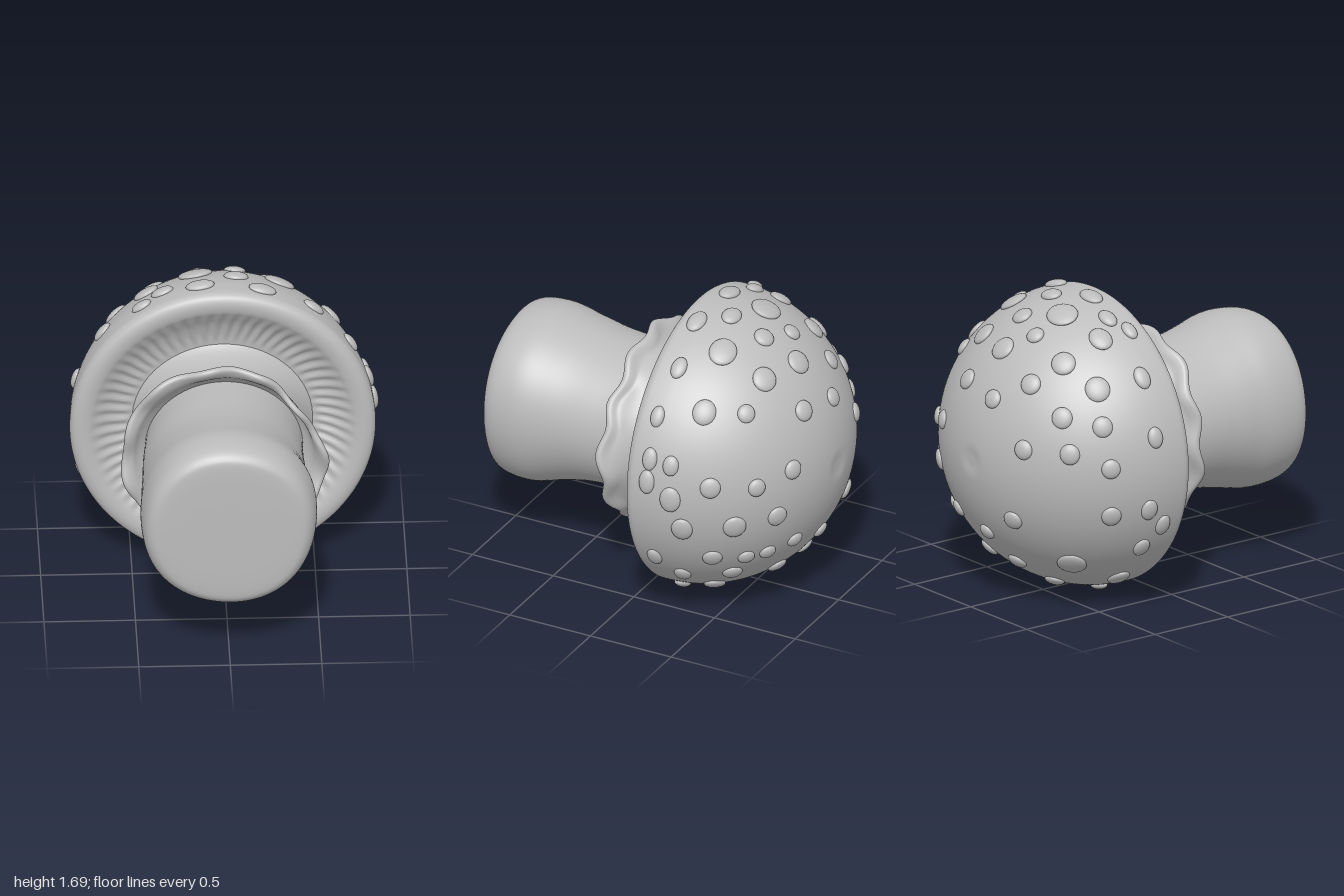
import * as THREE from 'three';
import { mergeVertices } from 'three/addons/utils/BufferGeometryUtils.js';

const AXIS_Y = 0.845;                       // height of the mushroom's lying axis
const CAP = { r: 0.836, d: 0.82, z: -0.18 }; // cap dome: radius, depth, centre

const smooth = (a, b, x) => THREE.MathUtils.smoothstep(x, a, b);

// Revolves a smooth [radius, z] profile about the z axis, then bends it by a rule.
function revolve(profile, steps, sides, rule) {
  const curve = new THREE.SplineCurve(profile.map(([r, z]) => new THREE.Vector2(r, z)));
  const pts = curve.getPoints(steps);
  pts.forEach(p => { p.x = Math.max(0, p.x); });
  let geo = new THREE.LatheGeometry(pts, sides);
  geo.rotateX(Math.PI / 2);
  geo.deleteAttribute('uv');
  geo.deleteAttribute('normal');
  const pos = geo.attributes.position;
  const v = new THREE.Vector3();
  for (let i = 0; i < pos.count; i++) {
    v.fromBufferAttribute(pos, i);
    rule(v, Math.hypot(v.x, v.y), Math.atan2(v.y, v.x));
    pos.setXYZ(i, v.x, v.y, v.z);
  }
  geo = mergeVertices(geo, 1e-5);
  geo.computeVertexNormals();
  return geo;
}

// Spots placed by [x, z, size] on the upper half
const UPPER = [
  [-0.09, -0.915, 0.055], [-0.28, -0.8, 0.06], [0.02, -0.76, 0.072], [0.28, -0.69, 0.072],
  [0.18, -0.88, 0.06], [0.47, -0.68, 0.052], [0.6, -0.49, 0.072],
  [-0.37, -0.645, 0.07], [-0.57, -0.565, 0.072], [-0.5, -0.755, 0.06], [-0.12, -0.645, 0.052],
  [0.08, -0.58, 0.06], [-0.14, -0.475, 0.095], [-0.41, -0.42, 0.075], [0.32, -0.455, 0.088],
  [0.08, -0.38, 0.068], [-0.65, -0.32, 0.065], [-0.325, -0.305, 0.065], [-0.44, -0.245, 0.06],
  [-0.12, -0.26, 0.08], [0.22, -0.24, 0.078], [0.5, -0.28, 0.065], [0.7, -0.255, 0.06],
  [-0.66, -0.6, 0.058],
];
// Spots placed by [y, z, size] on the left flank
const LEFT = [
  [1.06, -0.38, 0.058], [1.08, -0.26, 0.065], [0.95, -0.255, 0.07], [0.865, -0.39, 0.075],
  [0.945, -0.59, 0.06], [0.92, -0.79, 0.052], [0.97, -0.91, 0.055], [0.68, -0.445, 0.07],
  [0.69, -0.695, 0.068], [0.71, -0.86, 0.06], [0.435, -0.25, 0.065], [0.3, -0.36, 0.062],
  [0.465, -0.56, 0.058], [0.445, -0.7, 0.05], [0.45, -0.78, 0.05], [0.48, -0.87, 0.05],
  [0.31, -0.6, 0.058], [0.245, -0.72, 0.058], [0.16, -0.445, 0.07], [0.11, -0.245, 0.065],
  [0.06, -0.35, 0.058],
];
// Spots placed by [y, z, size] on the right flank
const RIGHT = [
  [1.05, -0.34, 0.06], [0.98, -0.91, 0.055], [0.98, -0.76, 0.058], [0.9, -0.59, 0.055],
  [0.55, -0.905, 0.058], [0.62, -0.57, 0.058], [0.64, -0.375, 0.062], [0.53, -0.27, 0.065],
  [0.395, -0.35, 0.062], [0.29, -0.63, 0.085], [0.24, -0.74, 0.058], [0.16, -0.33, 0.078],
  [0.415, -0.885, 0.05], [0.11, -0.54, 0.058], [0.035, -0.26, 0.06],
];

export function createModel() {
  const model = new THREE.Group();
  const grey = new THREE.MeshStandardMaterial({ color: 0xbcbcbc });
  grey.name = 'clay grey';

  const body = new THREE.Group();
  body.name = 'mushroom';
  body.position.y = AXIS_Y;
  model.add(body);
  const add = (name, geo, parent = body) => {
    const mesh = new THREE.Mesh(geo, grey);
    mesh.name = name;
    parent.add(mesh);
    return mesh;
  };

  // Cap: dome with a faint dimple, rounded rim, shallow hollow with swirled gills
  const capProfile = [];
  for (let i = 0; i <= 14; i++) {
    const a = (i / 14) * Math.PI / 2;
    capProfile.push([CAP.r * Math.sin(a), CAP.z - CAP.d * Math.cos(a)]);
  }
  capProfile.push([0.831, -0.148], [0.812, -0.124], [0.775, -0.113], [0.73, -0.12],
    [0.69, -0.143], [0.62, -0.185], [0.54, -0.213], [0.46, -0.225], [0.36, -0.225]);
  add('cap', revolve(capProfile, 100, 300, (v, r, a) => {
    if (v.z < -0.9) v.z += 0.008 * (1 - smooth(0.03, 0.09, r));
    if (v.z > -0.3) {
      const band = smooth(0.48, 0.56, r) * (1 - smooth(0.64, 0.74, r));
      v.z += band * 0.008 * Math.cos(60 * a + 14 * r + 0.8 * Math.sin(5 * a));
      v.z -= 0.008 * v.y;
    }
  }));

  // Stem: neck flaring into the cap, swollen foot, flat and slightly tilted end
  const stemProfile = [[0.5, -0.26], [0.45, -0.2], [0.418, -0.12], [0.407, -0.02], [0.407, 0.08],
    [0.412, 0.2], [0.42, 0.35], [0.436, 0.48], [0.467, 0.62], [0.497, 0.74], [0.502, 0.83],
    [0.488, 0.92], [0.453, 0.972], [0.39, 0.989], [0.2, 0.993], [0, 0.993]];
  add('stem', revolve(stemProfile, 70, 96, (v, r, a) => {
    const lump = 1 - 0.012 * Math.cos(4 * a + 0.6) * smooth(0.4, 0.8, v.z);
    v.x *= lump * (1.06 - 0.095 * smooth(0.3, 0.85, v.z));
    v.y *= lump;
    v.z -= 0.018 * v.x * smooth(0.7, 0.95, v.z);
    v.x -= 0.012 * smooth(0, 0.3, v.z) * (1 - smooth(0.5, 0.8, v.z));
  }));

  // Skirt: thin flared collar with a ruffled lip, drawn in on one side
  const skirtProfile = [[0.395, -0.12], [0.415, -0.04], [0.448, 0.04], [0.492, 0.1], [0.536, 0.13],
    [0.56, 0.154], [0.558, 0.178], [0.536, 0.184], [0.49, 0.158], [0.45, 0.11], [0.4, 0.06]];
  add('skirt', revolve(skirtProfile, 50, 180, (v, r, a) => {
    const f = smooth(0.43, 0.54, r);
    const tuck = 0.11 * Math.max(0, Math.cos(a - 0.7)) ** 6;
    const k = 1 + f * (0.012 * Math.cos(11 * a + 0.5) + 0.014 * Math.cos(5 * a + 1) - tuck);
    v.x *= k * (1.05 - 0.04 * f);
    v.y *= k;
    v.z += f * (0.016 * Math.sin(11 * a + 1.2) + 0.008 * Math.sin(4 * a) + 0.02 * v.x);
  }));

  // Spots: flattened buttons on the dome, stretched along the rim as they near it
  const spots = new THREE.Group();
  spots.name = 'spots';
  body.add(spots);
  const spotGeo = new THREE.SphereGeometry(1, 20, 12);
  const radii = new THREE.Vector3(CAP.r, CAP.r, CAP.d);
  const axis = new THREE.Vector3(0, 0, 1);
  const addSpot = (x, y, z, size) => {
    const p = new THREE.Vector3(x, y, z - CAP.z).divide(radii).normalize();
    const normal = p.clone().divide(radii).normalize();
    const around = new THREE.Vector3().crossVectors(axis, normal).normalize();
    const along = new THREE.Vector3().crossVectors(normal, around);
    const spot = add('spot', spotGeo, spots);
    spot.quaternion.setFromRotationMatrix(new THREE.Matrix4().makeBasis(around, along, normal));
    spot.position.copy(p).multiply(radii).addScaledVector(normal, 0.002);
    spot.position.z += CAP.z;
    spot.scale.set(size, size * (0.62 + 0.33 * smooth(0.2, 0.6, -z)), 0.025);
  };
  // Remaining coordinate that puts a point on the dome
  const reach = (a, z) => Math.sqrt(Math.max(0,
    CAP.r ** 2 * (1 - ((z - CAP.z) / CAP.d) ** 2) - a * a));
  UPPER.forEach(([x, z, s]) => addSpot(x, reach(x, z), z, s));
  LEFT.forEach(([y, z, s]) => addSpot(reach(y - AXIS_Y, z), y - AXIS_Y, z, s));
  RIGHT.forEach(([y, z, s]) => addSpot(-reach(y - AXIS_Y, z), y - AXIS_Y, z, s));

  return model;
}
